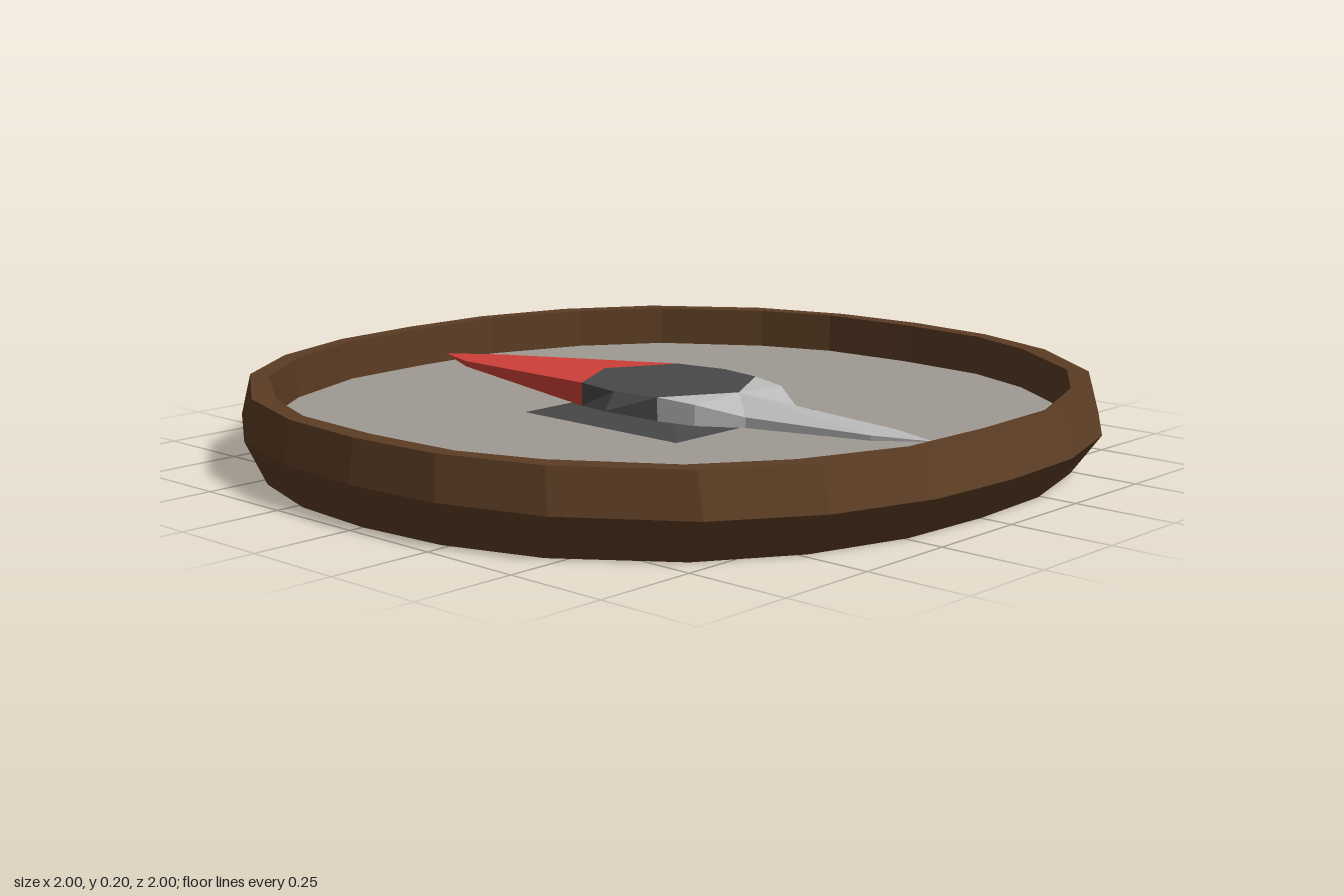
import * as THREE from 'three';

// Flat-shaded mesh from a list of triangle corners
function facetMesh(name, points, color) {
  const geometry = new THREE.BufferGeometry().setFromPoints(points);
  geometry.computeVertexNormals();
  const mesh = new THREE.Mesh(geometry, new THREE.MeshStandardMaterial({ color, flatShading: true }));
  mesh.name = name;
  return mesh;
}

// Skin between consecutive rings, outside facing outwards
function loft(rings) {
  const out = [];
  for (let r = 0; r < rings.length - 1; r++) {
    const low = rings[r], high = rings[r + 1];
    low.forEach((a, i) => {
      const j = (i + 1) % low.length;
      out.push(a, low[j], high[j], a, high[j], high[i]);
    });
  }
  return out;
}

// Fan from a centre point to a ring, facing up or down
function cap(ring, centre, up) {
  const out = [];
  ring.forEach((a, i) => {
    const b = ring[(i + 1) % ring.length];
    out.push(centre, up ? a : b, up ? b : a);
  });
  return out;
}

// Closed ring from a quarter outline running from front to side
function ringFrom(quarter, y, sx = 1, sz = 1) {
  const side = [...quarter, ...quarter.slice(0, -1).reverse().map(([x, z]) => [x, -z])];
  const all = [...side, ...side.slice(1, -1).reverse().map(([x, z]) => [-x, z])];
  return all.map(([x, z]) => new THREE.Vector3(x * sx, y, z * sz));
}

// Mirrored needle part; rows are [x, z, topY, bottomY, lowerX]
function needlePart(name, rows, hubZ, color) {
  const left = rows.filter((r) => r[0] > 0).reverse()
    .map(([x, z, t, b, lx = x]) => [-x, z, t, b, -lx]);
  const all = [...rows, ...left];
  const top = all.map(([x, z, t]) => new THREE.Vector3(x, t, z));
  const bottom = all.map(([x, z, , b, lx = x]) => new THREE.Vector3(lx, b, z));
  return facetMesh(name, [
    ...loft([bottom, top]),
    ...cap(top, new THREE.Vector3(0, 0.182, hubZ), true),
    ...cap(bottom, new THREE.Vector3(0, 0.125, hubZ), false),
  ], color);
}

export function createModel() {
  const model = new THREE.Group();
  model.name = 'compass';

  // Casing: faceted wooden dish
  const outer = [[0, 1], [0.25, 0.985], [0.5, 0.905], [0.717, 0.757], [0.9, 0.5], [0.98, 0.25], [1, 0]];
  const inner = [[0, 0.92], [0.25, 0.91], [0.5, 0.815], [0.69, 0.68], [0.85, 0.44], [0.92, 0.25], [0.936, 0]];
  const base = ringFrom(outer, 0, 0.965, 0.92);
  const floorRing = ringFrom(inner, 0.1);
  model.add(facetMesh('casing', [
    ...cap(base, new THREE.Vector3(), false),
    ...loft([base, ringFrom(outer, 0.1), ringFrom(outer, 0.2, 0.985, 0.967), ringFrom(inner, 0.2), floorRing]),
  ], 0x5c3d24));

  // Dial face
  model.add(facetMesh('dial', cap(floorRing, new THREE.Vector3(0, 0.1, 0), true), 0xa09a94));

  // Square pivot foot under the needle
  const foot = new THREE.Mesh(
    new THREE.CylinderGeometry(0.1, 0.25 * Math.SQRT2, 0.03, 4),
    new THREE.MeshStandardMaterial({ color: 0x484848, flatShading: true }),
  );
  foot.name = 'pivotFoot';
  foot.rotation.y = Math.PI / 4;
  foot.position.y = 0.12;
  model.add(foot);

  // Needle: hub, red north point and pale south point
  const needle = new THREE.Group();
  needle.name = 'needle';
  needle.add(
    needlePart('hub', [
      [0, 0.22, 0.182, 0.125], [0.175, 0.12, 0.182, 0.125], [0.195, 0, 0.182, 0.14, 0.23],
      [0.17, -0.135, 0.182, 0.125], [0, -0.225, 0.182, 0.125],
    ], 0, 0x484848),
    needlePart('northPoint', [
      [0, -0.225, 0.182, 0.125], [0.17, -0.135, 0.182, 0.125],
      [0.065, -0.67, 0.152, 0.138], [0, -0.82, 0.145, 0.144],
    ], -0.225, 0xd0403a),
    needlePart('southPoint', [
      [0, 0.79, 0.15, 0.149], [0.045, 0.65, 0.15, 0.138], [0.09, 0.32, 0.15, 0.125],
      [0.155, 0.22, 0.175, 0.125], [0.175, 0.12, 0.182, 0.125], [0, 0.22, 0.182, 0.125],
    ], 0.22, 0xbbbbbb),
  );
  model.add(needle);
  return model;
}
